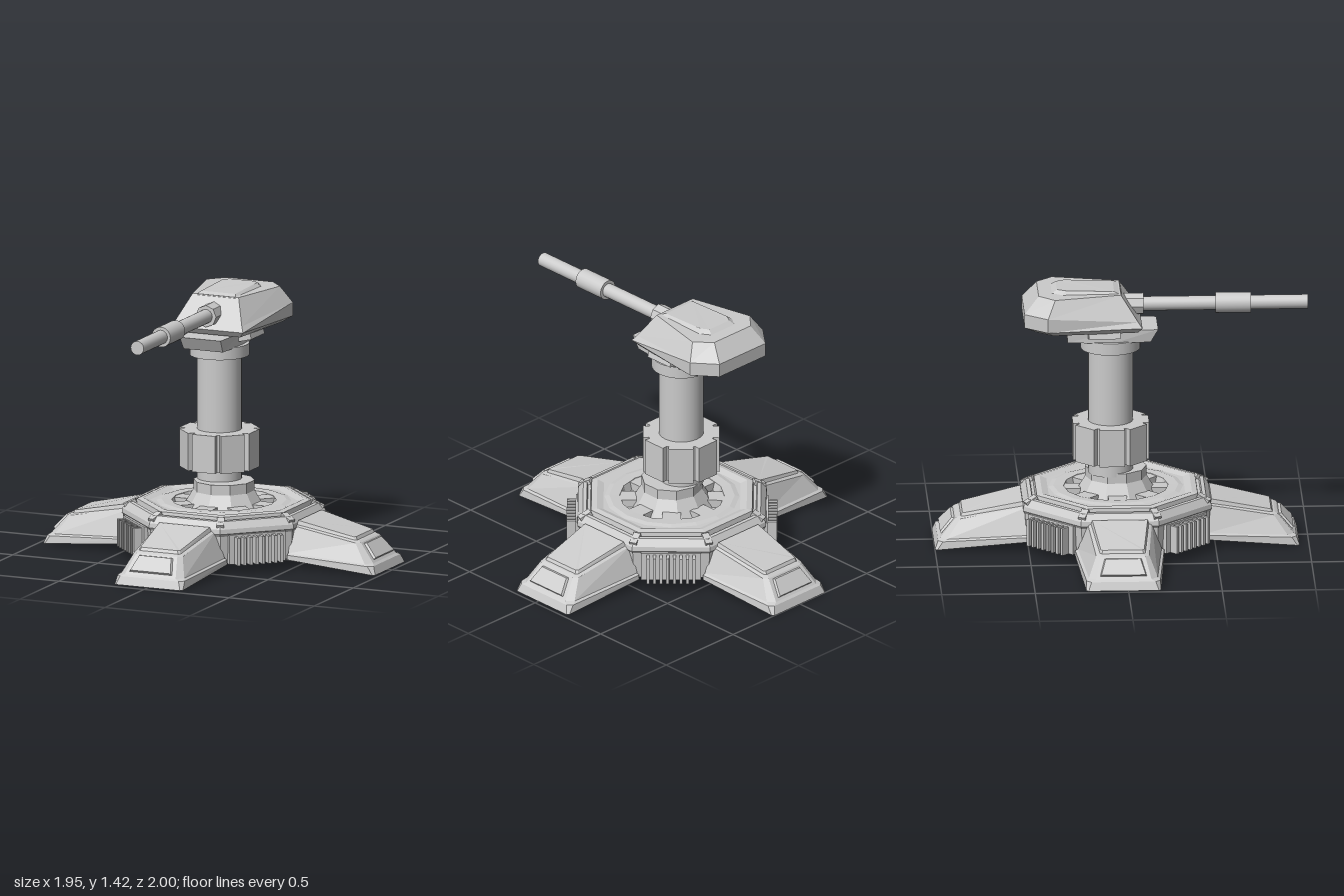
import * as THREE from 'three';

const flat = new THREE.MeshStandardMaterial({ color: 0xcccccc, flatShading: true, side: THREE.DoubleSide });
const smooth = new THREE.MeshStandardMaterial({ color: 0xcccccc });

function add(parent, name, geometry, x = 0, y = 0, z = 0, material = flat) {
  const mesh = new THREE.Mesh(geometry, material);
  mesh.name = name;
  mesh.position.set(x, y, z);
  parent.add(mesh);
  return mesh;
}

// Joins rings of [x, y, z] points with flat faces, from the lowest to the highest
function loft(rings, { closed = true, top = true, bottom = false } = {}) {
  const v = [];
  const n = rings[0].length;
  for (let r = 0; r < rings.length - 1; r++) {
    for (let i = 0; i < (closed ? n : n - 1); i++) {
      const j = (i + 1) % n;
      const [a, b, c, d] = [rings[r][i], rings[r][j], rings[r + 1][j], rings[r + 1][i]];
      v.push(...a, ...b, ...c, ...a, ...c, ...d);
    }
  }
  const last = rings[rings.length - 1];
  for (let i = 1; i < n - 1; i++) {
    if (top) v.push(...last[0], ...last[i], ...last[i + 1]);
    if (bottom) v.push(...rings[0][0], ...rings[0][i + 1], ...rings[0][i]);
  }
  const g = new THREE.BufferGeometry();
  g.setAttribute('position', new THREE.Float32BufferAttribute(v, 3));
  g.computeVertexNormals();
  return g;
}

// Mirrored ring: [half width, y, z] points down the +x side, from front to back
const mirrorRing = (half) => [...half.map(([x, y, z]) => [-x, y, z]).reverse(), ...half]
  .map((p, i, all) => all[(i + half.length - 1) % all.length]);

// Leg ring: inner and outer half width, height and distance, with a cut outer corner
function legRing(wi, yi, zi, wo, yo, zo, cut) {
  const half = [[wo - cut, yo, zo], [wo, yo, zo - cut], [wi, yi, zi]];
  return [...half.map(([x, y, z]) => [-x, y, z]).reverse(), ...half];
}

function makeLeg() {
  const leg = new THREE.Group();
  leg.name = 'leg';
  add(leg, 'legShell', loft([
    legRing(0.24, 0.05, 0.48, 0.2, 0, 0.975, 0.012),
    legRing(0.238, 0.075, 0.48, 0.197, 0.045, 0.958, 0.025),
    legRing(0.224, 0.083, 0.48, 0.184, 0.055, 0.945, 0.035),
    legRing(0.172, 0.225, 0.48, 0.142, 0.155, 0.86, 0.022),
    legRing(0.16, 0.232, 0.48, 0.13, 0.163, 0.845, 0.018),
  ], { closed: false }));
  add(leg, 'legTopPanel', loft([
    legRing(0.155, 0.228, 0.5, 0.122, 0.163, 0.835, 0.01),
    legRing(0.148, 0.25, 0.505, 0.116, 0.182, 0.825, 0.01),
  ]));
  // Raised panel on the sloping toe
  add(leg, 'toePanel', loft([
    [[-0.125, 0.07, 0.938], [0.125, 0.07, 0.938], [0.098, 0.148, 0.868], [-0.098, 0.148, 0.868]],
    [[-0.118, 0.08, 0.945], [0.118, 0.08, 0.945], [0.093, 0.15, 0.882], [-0.093, 0.15, 0.882]],
  ]));
  return leg;
}

// Eight-sided ring of wall; profile points are [distance to flat, height]
function octagon(profile) {
  const pts = profile.map(([r, y]) => new THREE.Vector2(r / Math.cos(Math.PI / 8), y));
  return new THREE.LatheGeometry(pts, 8, Math.PI / 8).toNonIndexed();
}

function makeBase() {
  const base = new THREE.Group();
  base.name = 'base';
  base.position.z = -0.025;
  add(base, 'baseBody', octagon([
    [0.485, 0.05], [0.495, 0.2], [0.505, 0.215], [0.502, 0.24], [0.475, 0.278], [0.455, 0.28],
    [0.45, 0.265], [0.435, 0.265], [0.43, 0.292], [0.4, 0.298], [0.365, 0.285], [0.33, 0.285],
  ]));

  // Round well in the deck with ribs around the pedestal
  const well = [[0.365, 0.284], [0.335, 0.292], [0.28, 0.29], [0.265, 0.245], [0, 0.245]];
  add(base, 'deckWell', new THREE.LatheGeometry(well.map(([r, y]) => new THREE.Vector2(r, y)), 16));
  add(base, 'pedestalCone', new THREE.CylinderGeometry(0.165, 0.225, 0.1, 10), 0, 0.295);
  add(base, 'pedestalCollar', new THREE.CylinderGeometry(0.165, 0.165, 0.055, 10), 0, 0.3725);

  for (let k = 0; k < 8; k++) {
    const a = (k * Math.PI) / 4;
    const spoke = new THREE.Group();
    spoke.name = 'baseSector';
    spoke.rotation.y = a;
    base.add(spoke);
    add(spoke, 'wellRib', new THREE.BoxGeometry(0.1, 0.045, 0.09), 0, 0.265, 0.235);
    // Small clamp on each corner of the deck
    const corner = new THREE.Group();
    corner.name = 'cornerClamp';
    corner.rotation.y = Math.PI / 8;
    spoke.add(corner);
    add(corner, 'clampBlock', new THREE.BoxGeometry(0.04, 0.025, 0.07), 0, 0.267, 0.5).rotation.x = 0.45;
    if (k % 2 === 0) {
      spoke.add(makeLeg());
    } else {
      // Grille with upright fins on the diagonal walls
      add(spoke, 'grillePlate', new THREE.BoxGeometry(0.32, 0.16, 0.03), 0, 0.13, 0.5);
      for (let i = 0; i < 8; i++) {
        add(spoke, 'grilleFin', new THREE.BoxGeometry(0.016, 0.15, 0.055), (i - 3.5) * 0.035, 0.125, 0.535);
      }
    }
  }
  return base;
}

function makePost() {
  const post = new THREE.Group();
  post.name = 'post';
  add(post, 'column', new THREE.CylinderGeometry(0.12, 0.12, 0.72, 32), 0, 0.74, 0, smooth);
  add(post, 'topCollar', new THREE.CylinderGeometry(0.16, 0.16, 0.065, 32), 0, 1.1075, 0, smooth);
  add(post, 'turntable', new THREE.CylinderGeometry(0.12, 0.12, 0.06, 24), 0, 1.15, 0, smooth);

  // Clamp with eight broad panels parted by narrow grooves
  const outline = [];
  for (let k = 0; k < 8; k++) {
    for (const [r, d] of [[0.184, -0.36], [0.215, -0.32], [0.215, 0.32], [0.184, 0.36]]) {
      const a = (k * Math.PI) / 4 + d;
      outline.push(new THREE.Vector2(Math.cos(a) * r, Math.sin(a) * r));
    }
  }
  const clamp = new THREE.ExtrudeGeometry(new THREE.Shape(outline), { depth: 0.205, bevelEnabled: false });
  add(post, 'postClamp', clamp.rotateX(-Math.PI / 2), 0, 0.465);
  return post;
}

function makeHead() {
  const head = new THREE.Group();
  head.name = 'head';
  // Coordinates along z here are absolute; the head is only shifted in x
  const ring = (y, f, w, b) => mirrorRing([[f[0], f[2] ?? y, f[1]], [w[0], y, w[1]], [b[0], y, b[1]]]);
  add(head, 'headShell', loft([
    ring(1.21, [0.185, 0.085], [0.225, -0.37], [0.15, -0.46]),
    ring(1.24, [0.212, 0.107], [0.272, -0.4], [0.172, -0.522]),
    ring(1.315, [0.195, 0.085, 1.27], [0.272, -0.4], [0.172, -0.522]),
    ring(1.405, [0.135, -0.005], [0.215, -0.36], [0.135, -0.445]),
  ], { bottom: true }));
  add(head, 'roofHatch', loft([
    mirrorRing([[0.12, 1.4, 0.0], [0.13, 1.4, -0.32], [0.09, 1.4, -0.38]]),
    mirrorRing([[0.1, 1.415, -0.04], [0.1, 1.423, -0.3], [0.075, 1.423, -0.345]]),
  ]));

  // Cradle plate under the head, with a wing on each side
  add(head, 'cradle', loft([
    mirrorRing([[0.115, 1.135, 0.155], [0.135, 1.135, -0.05], [0.115, 1.135, -0.29]]),
    mirrorRing([[0.12, 1.205, 0.195], [0.135, 1.205, -0.05], [0.12, 1.205, -0.29]]),
  ], { bottom: true }));
  for (const s of [-1, 1]) {
    add(head, 'cradleWing', new THREE.BoxGeometry(0.11, 0.035, 0.17), s * 0.15, 1.185, -0.095).rotation.z = s * 0.25;
  }

  // Gun
  const rod = (name, r, z0, z1, n = 24) => add(head, name,
    new THREE.CylinderGeometry(r, r, z1 - z0, n).rotateX(Math.PI / 2), 0, 1.315, (z0 + z1) / 2, n > 10 ? smooth : flat);
  rod('barrel', 0.038, 0.0, 1.0);
  rod('barrelSleeve', 0.055, 0.505, 0.695);
  rod('barrelMount', 0.06, 0.0, 0.12, 8);
  head.position.x = -0.04;
  return head;
}

export function createModel() {
  const model = new THREE.Group();
  model.name = 'gunTurret';
  const post = makePost();
  post.position.set(-0.04, 0, -0.055);
  model.add(makeBase(), post, makeHead());
  return model;
}
